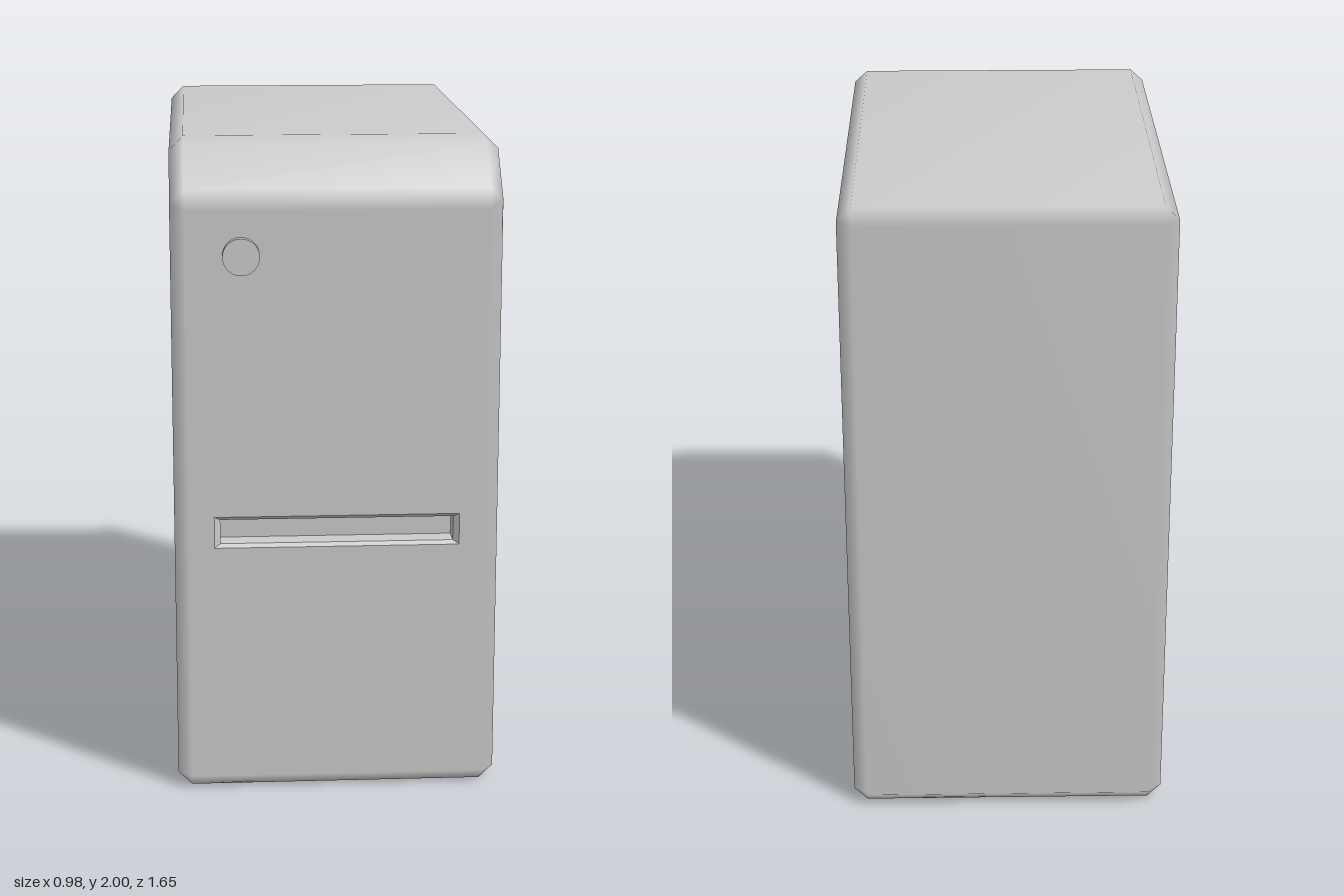
import * as THREE from 'three';
import { mergeVertices } from 'three/addons/utils/BufferGeometryUtils.js';

const HALF_W = 0.49, BEVEL = 0.042, FRONT = 0.803, BACK = -0.825, HEIGHT = 2;
const material = new THREE.MeshStandardMaterial({ color: 0xcccccc });

// Skins a list of equal-length rings and closes the chosen ends.
function loft(rings, capStart, capEnd) {
  const n = rings[0].length, index = [];
  for (let i = 0; i < rings.length - 1; i++) {
    for (let j = 0; j < n; j++) {
      const k = (j + 1) % n;
      const a = i * n + j, b = i * n + k, c = b + n, d = a + n;
      index.push(a, d, c, a, c, b);
    }
  }
  const last = (rings.length - 1) * n;
  for (let j = 1; j < n - 1; j++) {
    if (capStart) index.push(0, j, j + 1);
    if (capEnd) index.push(last, last + j + 1, last + j);
  }
  const geometry = new THREE.BufferGeometry();
  geometry.setAttribute('position', new THREE.Float32BufferAttribute(rings.flat(2), 3));
  geometry.setIndex(index);
  return geometry;
}

function addMesh(group, name, geometry) {
  const mesh = new THREE.Mesh(geometry, material);
  mesh.name = name;
  group.add(mesh);
  return mesh;
}

// Case shell: side profiles lofted across x, with area-weighted smooth bevels.
function shellGeometry() {
  const B = BEVEL, f = FRONT, k = BACK, h = HEIGHT;
  const outer = [[f, 1.805], [0.78, 1.862], [0.665, 1.977], [0.61, h], [k + B, h], [k, h - B],
    [k, B], [k + B, 0], [f - B, 0], [f, B]];
  const corners = [[f - B, 1.825], [0.628, h - B], [k + B, h - B], [k + B, B], [f - B, B]];
  const inner = corners.flatMap((p) => [p, p]);
  const ring = (profile, x) => profile.map(([z, y]) => [x, y, z]);
  const geometry = mergeVertices(loft([
    ring(inner, -HALF_W), ring(outer, -HALF_W + B),
    ring(outer, HALF_W - B), ring(inner, HALF_W),
  ], true, true));
  geometry.computeVertexNormals();
  // Leave the flat front open for the slotted panel.
  const pos = geometry.attributes.position, old = geometry.index.array, kept = [];
  for (let i = 0; i < old.length; i += 3) {
    const tri = [old[i], old[i + 1], old[i + 2]];
    if (!tri.every((v) => Math.abs(pos.getZ(v) - FRONT) < 1e-4)) kept.push(...tri);
  }
  geometry.setIndex(kept);
  return geometry;
}

// Rectangle corners, clockwise as seen from the front.
const rect = (x, y0, y1, z) => [[-x, y0, z], [-x, y1, z], [x, y1, z], [x, y0, z]];

export function createModel() {
  const group = new THREE.Group();
  group.name = 'computerTower';

  addMesh(group, 'caseShell', shellGeometry());

  // Front panel with the slot cut out
  const toShape = (Type, points) => new Type(points.map(([x, y]) => new THREE.Vector2(x, y)));
  const slotMouth = rect(0.37, 0.78, 0.877, FRONT);
  const panel = toShape(THREE.Shape, rect(HALF_W - BEVEL, BEVEL, 1.805, FRONT));
  panel.holes.push(toShape(THREE.Path, slotMouth));
  addMesh(group, 'frontPanel', new THREE.ShapeGeometry(panel)).position.z = FRONT;

  // Recessed slot with a bevelled lip
  const slot = loft([
    slotMouth,
    rect(0.352, 0.79, 0.865, FRONT - 0.014),
    rect(0.352, 0.79, 0.865, FRONT - 0.08),
  ], false, true).toNonIndexed();
  slot.computeVertexNormals();
  addMesh(group, 'driveSlot', slot);

  // Round power button
  const button = addMesh(group, 'powerButton', new THREE.CylinderGeometry(0.055, 0.055, 0.045, 32));
  button.rotation.x = Math.PI / 2;
  button.position.set(-0.283, 1.672, 0.8075);

  return group;
}
